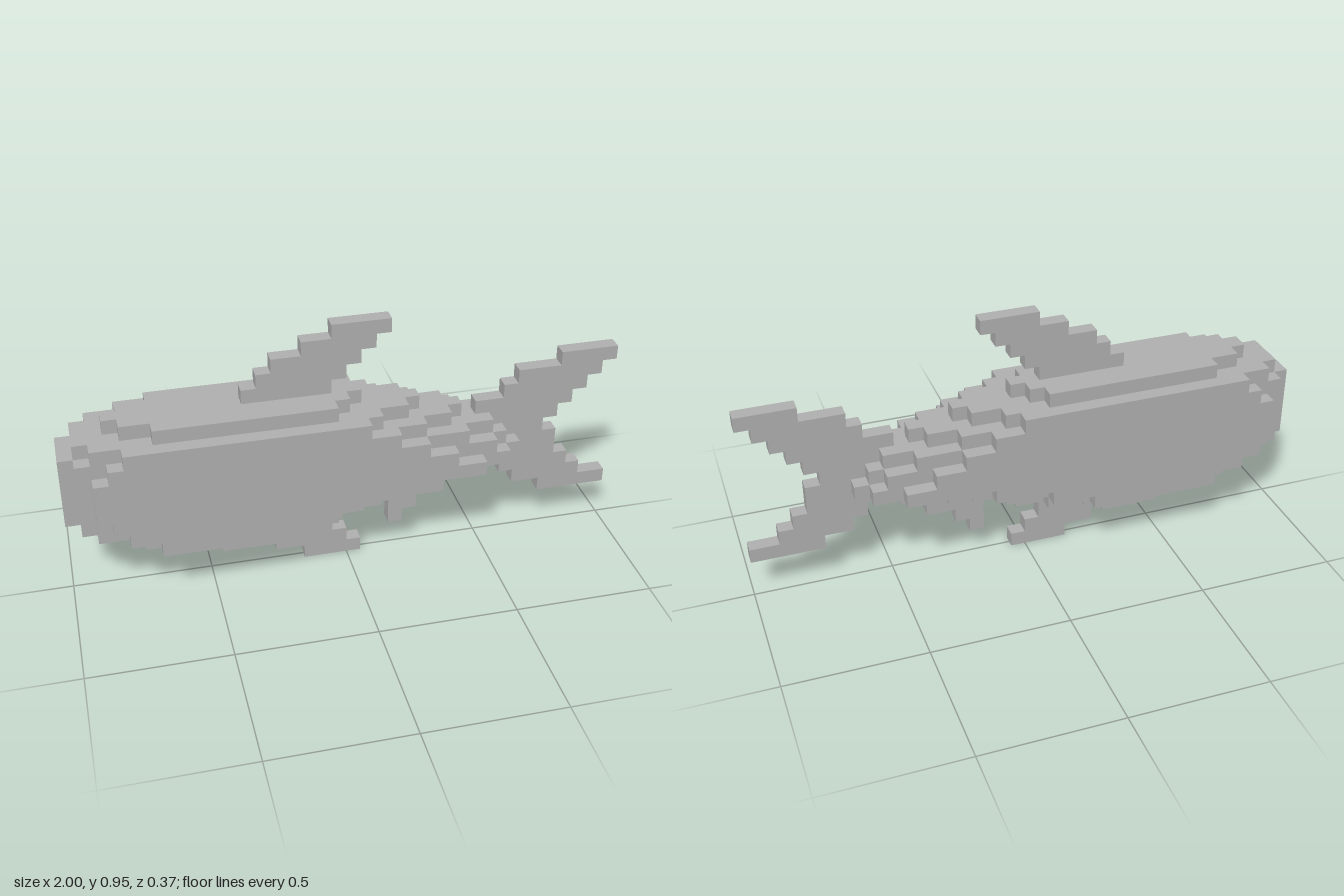
import * as THREE from 'three';

const U = 2 / 38; // one block

// Flat slab with a stepped outline: one [start, end] run of blocks per row, from the bottom row up
function steppedSlab(name, bottomRow, runs, thickness, material) {
  const right = [], left = [];
  runs.forEach(([a, b], i) => {
    const y0 = (bottomRow + i) * U, y1 = y0 + U;
    right.push(new THREE.Vector2(b * U - 1, y0), new THREE.Vector2(b * U - 1, y1));
    left.push(new THREE.Vector2(a * U - 1, y0), new THREE.Vector2(a * U - 1, y1));
  });
  const outline = [...right, ...left.reverse()].filter((p, i, all) => {
    // drop corners lying on a straight edge
    const q = all[(i + all.length - 1) % all.length], r = all[(i + 1) % all.length];
    return Math.abs((p.x - q.x) * (r.y - p.y) - (p.y - q.y) * (r.x - p.x)) > 1e-8;
  });
  const depth = thickness * U;
  const geometry = new THREE.ExtrudeGeometry(new THREE.Shape(outline), { depth, bevelEnabled: false });
  geometry.translate(0, 0, -depth / 2);
  const mesh = new THREE.Mesh(geometry, material);
  mesh.name = name;
  return mesh;
}

export function createModel() {
  const model = new THREE.Group();
  model.name = 'blockFish';
  const grey = new THREE.MeshStandardMaterial({ color: 0xb0b0b0 });
  grey.name = 'grey';
  const add = (name, row, runs, thickness = 1) =>
    model.add(steppedSlab(name, row, runs, thickness, grey));

  // Body: nested slabs, each thicker one a little smaller
  add('bodyCore', 3, [[6, 15], [3, 21], [1, 27], [0, 31], [0, 32], [0, 31],
    [0, 30], [0, 27], [1, 24], [3, 20]], 1);
  add('bodyInner', 3, [[8, 15], [4, 20], [1, 23], [0, 28], [0, 31], [0, 30],
    [0, 29], [0, 26], [1, 23], [4, 19]], 3);
  add('bodyMiddle', 3, [[10, 14], [5, 18], [2, 21], [1, 25], [1, 30], [1, 29],
    [1, 27], [1, 24], [2, 21], [6, 18]], 5);
  add('bodyFlanks', 4, [[6, 15], [4, 18], [3, 22], [2, 28], [2, 26],
    [2, 24], [3, 22], [4, 20]], 7);

  // Fins
  add('dorsalFin', 13, [[12, 18], [13, 19], [14, 20], [16, 21], [18, 22]]);
  add('bellyFin', 0, [[16, 20], [14, 19], [13, 18], [13, 18]]);
  add('analFin', 2, [[22, 23], [22, 24], [22, 26], [22, 27]]);
  add('tailFin', 3, [[33, 38], [31, 36], [30, 35], [28, 34], [28, 34], [28, 33],
    [28, 34], [28, 35], [30, 36], [31, 37], [34, 38]]);

  return model;
}
